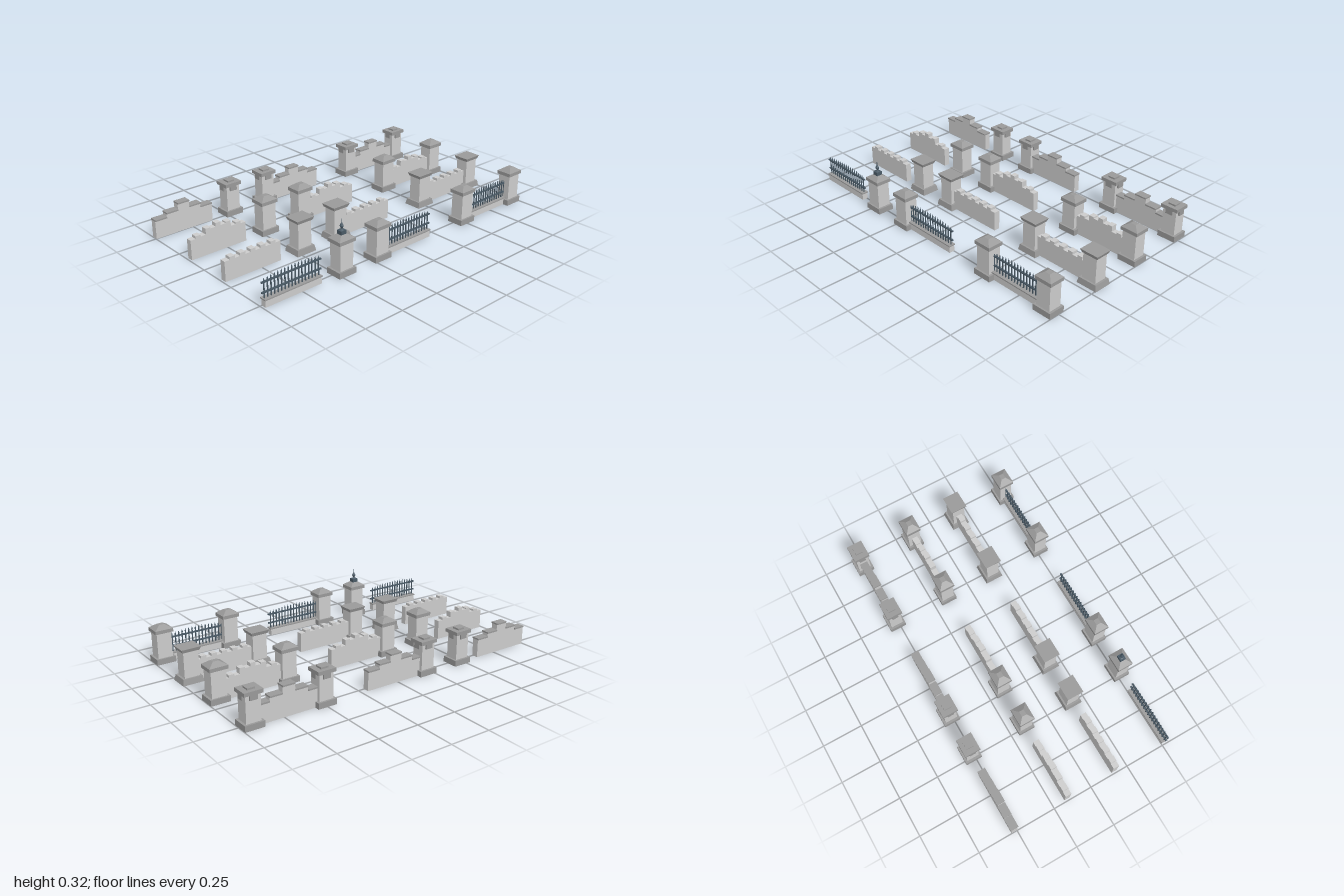
import * as THREE from 'three';

const stone = new THREE.MeshStandardMaterial({ color: 0xcccccc, flatShading: true });
const trim = new THREE.MeshStandardMaterial({ color: 0x999999, flatShading: true });
const iron = new THREE.MeshStandardMaterial({ color: 0x4a5a66, flatShading: true });
const DEPTH = 1.15; // pillars are slightly deeper than wide

function add(group, name, geometry, material, x = 0, y = 0, z = 0) {
  const mesh = new THREE.Mesh(geometry, material);
  mesh.name = name;
  mesh.position.set(x, y, z);
  group.add(mesh);
  return mesh;
}

// Box standing between heights y0 and y1
function block(group, name, w, y0, y1, d, material, z = 0, x = 0) {
  return add(group, name, new THREE.BoxGeometry(w, y1 - y0, d), material, x, (y0 + y1) / 2, z);
}

// Four-sided tapered block, given its bottom and top widths
function taper(group, name, w0, w1, y0, y1, material) {
  const g = new THREE.CylinderGeometry(w1 / Math.SQRT2, w0 / Math.SQRT2, y1 - y0, 4);
  g.rotateY(Math.PI / 4).scale(1, 1, DEPTH);
  return add(group, name, g, material, 0, (y0 + y1) / 2, 0);
}

// --- Pillars ---
function platePillar() {
  const g = new THREE.Group();
  block(g, 'pillarBase', 0.102, 0, 0.035, 0.117, trim);
  block(g, 'pillarShaft', 0.077, 0.035, 0.19, 0.089, stone);
  block(g, 'pillarCap', 0.097, 0.19, 0.211, 0.112, trim);
  block(g, 'pillarTopPlate', 0.046, 0.211, 0.221, 0.046, trim);
  // corbels under the cap, one on each face
  for (const s of [-1, 1]) {
    block(g, 'corbel', 0.01, 0.162, 0.19, 0.046, trim, 0, s * 0.0425);
    block(g, 'corbel', 0.04, 0.162, 0.19, 0.011, trim, s * 0.0495);
  }
  return g;
}

function hippedPillar() {
  const g = new THREE.Group();
  block(g, 'pillarBase', 0.102, 0, 0.035, 0.119, trim);
  block(g, 'pillarShaft', 0.08, 0.035, 0.19, 0.092, stone);
  block(g, 'pillarEaves', 0.096, 0.19, 0.211, 0.112, trim);
  taper(g, 'pillarRoof', 0.096, 0.03, 0.211, 0.235, trim);
  return g;
}

function flaredPillar() {
  const g = new THREE.Group();
  taper(g, 'pillarBase', 0.115, 0.102, 0, 0.035, trim);
  block(g, 'pillarShaft', 0.08, 0.035, 0.19, 0.092, stone);
  taper(g, 'pillarCap', 0.09, 0.104, 0.19, 0.211, trim);
  return g;
}

function finialPillar() {
  const g = hippedPillar();
  block(g, 'finialPlinth', 0.035, 0.226, 0.255, 0.038, iron);
  const profile = [[0.015, 0.255], [0.008, 0.259], [0.005, 0.265], [0.0105, 0.275], [0.0105, 0.281],
    [0.005, 0.293], [0.0025, 0.298], [0.002, 0.313], [0, 0.32]].map(p => new THREE.Vector2(...p));
  add(g, 'finial', new THREE.LatheGeometry(profile, 8), iron);
  return g;
}

// --- Walls, all running along z ---
function steppedWall() {
  const g = new THREE.Group();
  const step = 0.077;
  [0.119, 0.143, 0.182, 0.143, 0.119].forEach((h, i) => {
    const z = (i - 2) * step;
    block(g, 'wallStep', 0.04, 0, h - 0.009, step, stone, z);
    block(g, 'wallCoping', 0.05, h - 0.009, h, step, trim, z);
  });
  return g;
}

// Solid battlement outline extruded across the wall thickness
function battlementWall(heights) {
  const length = 0.366, step = length / heights.length;
  const shape = new THREE.Shape();
  shape.moveTo(-length / 2, 0);
  heights.forEach((h, i) => {
    shape.lineTo(-length / 2 + i * step, h);
    shape.lineTo(-length / 2 + (i + 1) * step, h);
  });
  shape.lineTo(length / 2, 0);
  const geo = new THREE.ExtrudeGeometry(shape, { depth: 0.037, bevelEnabled: false });
  geo.translate(0, 0, -0.0185).rotateY(Math.PI / 2);
  const g = new THREE.Group();
  add(g, 'battlementWall', geo, stone);
  return g;
}
const archedWall = () => battlementWall([0.12, 0.136, 0.125, 0.16, 0.152, 0.174, 0.152, 0.16, 0.125, 0.136, 0.12]);
const levelWall = () => battlementWall([0.12, 0.136, 0.12, 0.136, 0.12, 0.136, 0.12, 0.136, 0.12, 0.136, 0.12]);

function ironFence() {
  const g = new THREE.Group();
  block(g, 'fenceFooting', 0.034, 0, 0.04, 0.366, stone);
  block(g, 'fenceCoping', 0.042, 0.04, 0.047, 0.374, trim);
  for (const y of [0.08, 0.138]) block(g, 'fenceRail', 0.01, y - 0.004, y + 0.004, 0.385, iron);
  const count = 17;
  for (let i = 0; i < count; i++) {
    const t = (i / (count - 1)) * 2 - 1;
    const top = 0.176 - 0.014 * t * t;
    block(g, 'picket', 0.005, 0.047, top - 0.016, 0.006, iron, t * 0.176);
    add(g, 'picketTip', new THREE.ConeGeometry(0.006, 0.018, 4), iron, 0, top - 0.009, t * 0.176);
  }
  return g;
}

export function createModel() {
  const root = new THREE.Group();
  root.name = 'fenceKit';
  const styles = [
    { name: 'steppedSet', x: -0.516, pillar: platePillar, wall: steppedWall },
    { name: 'archedSet', x: -0.156, pillar: hippedPillar, wall: archedWall },
    { name: 'levelSet', x: 0.167, pillar: flaredPillar, wall: levelWall },
    { name: 'ironSet', x: 0.514, pillar: hippedPillar, wall: ironFence, single: finialPillar },
  ];
  for (const s of styles) {
    const set = new THREE.Group();
    set.name = s.name;
    set.position.x = s.x;
    const place = (part, name, z) => {
      part.name = name;
      part.position.z = z;
      set.add(part);
    };
    // two-pillar section, one-pillar section, lone pillar, lone wall
    for (const z of [-0.94, -0.5, 0.202]) place(s.pillar(), 'pillar', z);
    place((s.single ?? s.pillar)(), 'lonePillar', 0.467);
    for (const z of [-0.72, -0.018, 0.805]) place(s.wall(), 'wall', z);
    root.add(set);
  }
  return root;
}
